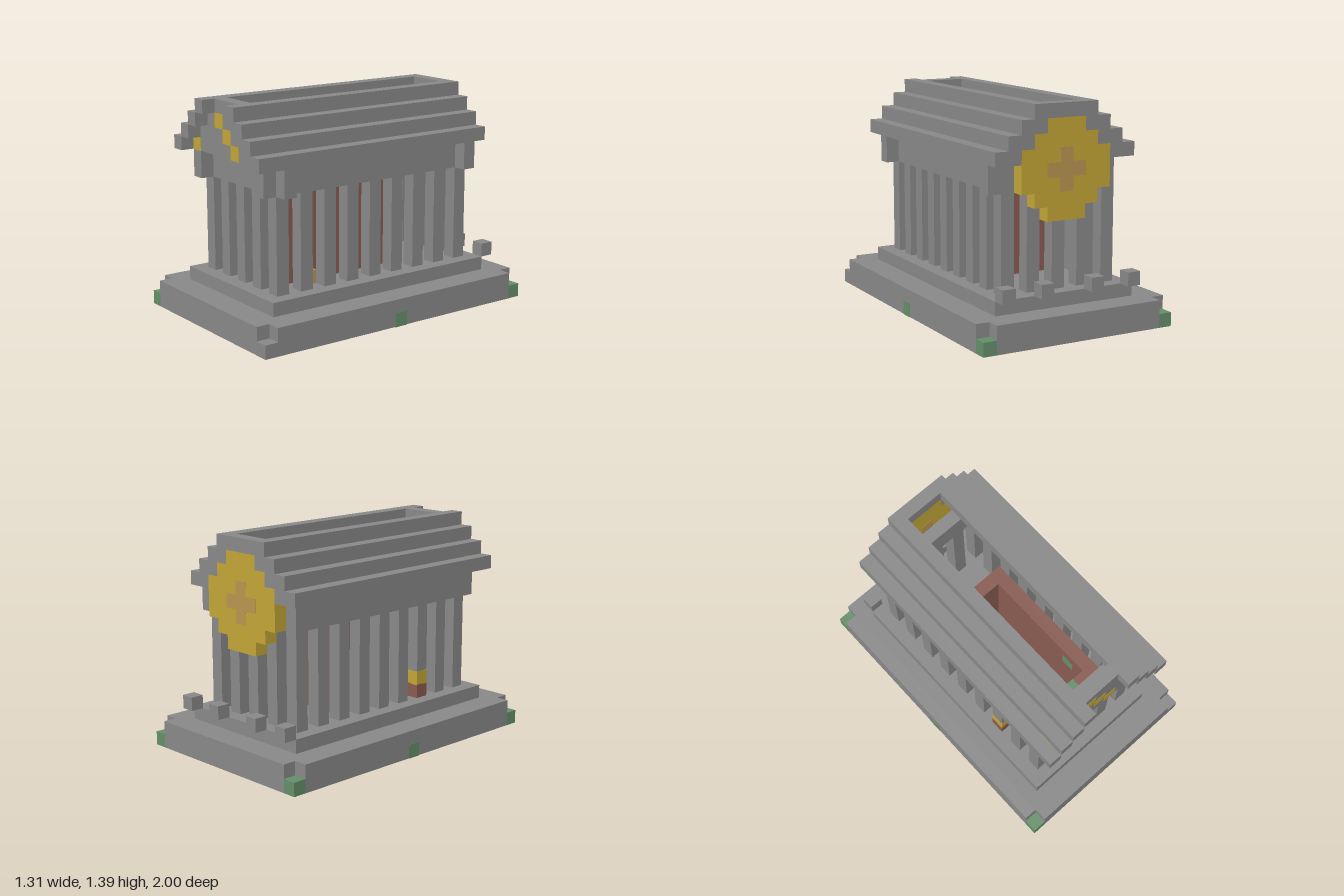
import * as THREE from 'three';

const U = 2 / 23; // one block
const mat = (name, color) => Object.assign(new THREE.MeshStandardMaterial({ color }), { name });

export function createModel() {
  const root = new THREE.Group();
  root.name = 'temple';
  const stone = mat('stone', 0x888888);
  const brick = mat('brick', 0x885b50);
  const moss = mat('moss', 0x648e69);
  const gold = mat('gold', 0xc2a537);
  const bronze = mat('bronze', 0xb8944f);

  // Box given by inclusive block ranges: x 0..14, y 0..15, z 0..22
  function block(name, m, x0, x1, y0, y1, z0, z1, grow = 0) {
    const g = new THREE.BoxGeometry(
      (x1 - x0 + 1) * U + grow, (y1 - y0 + 1) * U + grow, (z1 - z0 + 1) * U + grow);
    const mesh = new THREE.Mesh(g, m);
    mesh.position.set(((x0 + x1) / 2 - 7) * U, (y0 + y1 + 1) / 2 * U, ((z0 + z1) / 2 - 11) * U);
    mesh.name = name;
    root.add(mesh);
  }
  const cell = (name, m, x, y, z, grow = 0.004) => block(name, m, x, x, y, y, z, z, grow);

  // Base with notched upper corners, three of the lower corners mossy
  block('base', stone, 1, 13, 0, 1, 0, 22);
  for (const x of [0, 14]) {
    block('baseEdge', stone, x, x, 0, 1, 1, 21);
    for (const z of [0, 22]) cell('baseCorner', x === 14 && z === 22 ? stone : moss, x, 0, z, 0);
    cell('baseMoss', moss, x, 0, 11);
  }
  block('step', stone, 2, 12, 2, 2, 2, 20);

  // Moss patches under the base, as [blocks from the left side, blocks from the back]
  const patches = [[5, 8], [6, 6], [8, 4], [10, 3], [3, 12], [4, 13], [3, 14], [1, 17], [4, 19], [5, 20],
    [8, 21], [7, 16], [8, 17], [12, 18], [11, 14], [12, 12], [11, 7], [12, 6], [13, 7], [13, 4], [13, 3]];
  for (const [b, z] of patches) {
    const p = new THREE.Mesh(new THREE.BoxGeometry(U, 0.004, U), moss);
    p.position.set((7 - b) * U, 0, (z - 11) * U);
    p.name = 'undersideMoss';
    root.add(p);
  }

  // Colonnade
  for (let z = 3; z <= 19; z += 2)
    for (const x of [3, 11]) block('sideColumn', stone, x, x, 3, 9, z, z);
  for (const z of [3, 19])
    for (const x of [5, 7, 9]) block('endColumn', stone, x, x, 3, 9, z, z);
  cell('columnBrick', brick, 3, 3, 15);
  cell('columnGold', gold, 3, 4, 15);

  // Inner chamber
  for (const x of [5, 9]) block('chamberSideWall', brick, x, x, 3, 9, 8, 18);
  for (const z of [8, 18]) block('chamberEndWall', brick, 6, 8, 3, 9, z, z);
  cell('wallMoss', moss, 9, 5, 18);
  cell('wallMoss', moss, 9, 8, 16);
  cell('wallMoss', moss, 7, 9, 18);
  cell('altar', stone, 7, 3, 17, 0);
  cell('urn', bronze, 10, 3, 16, 0);

  // Beam ring with corner brackets
  for (const x of [3, 11]) {
    block('sideBeam', stone, x, x, 10, 11, 3, 19);
    block('frontBracket', stone, x, x, 10, 11, 20, 20);
  }
  for (const z of [3, 19]) {
    block('endBeam', stone, 4, 10, 10, 11, z, z);
    block('sideBracket', stone, 12, 12, 10, 11, z, z);
  }

  // Stepped roof, open along the ridge, and the front gable
  for (let s = 0; s < 4; s++) {
    for (const x of [2 + s, 12 - s]) block('roofStep', stone, x, x, 12 + s, 12 + s, 2, 21);
    block('frontGable', stone, 3 + s, 11 - s, 12 + s, 12 + s, 20, 20);
  }
  for (const [x, y] of [[3, 12], [8, 12], [7, 13], [6, 14]]) cell('gableGold', gold, x, y, 20);

  // Rear gable filled by a round gold disc with a bronze cross
  block('rearGableTop', stone, 6, 8, 15, 15, 2, 2);
  for (let s = 0; s < 3; s++)
    for (const x of [3 + s, 11 - s]) cell('rearGable', stone, x, 12 + s, 2, 0);
  [1, 2, 3, 3, 3, 2, 1].forEach((h, r) => block('disc', gold, 7 - h, 7 + h, 8 + r, 8 + r, 2, 2));
  block('discCross', bronze, 6, 8, 11, 11, 2, 2, 0.004);
  for (const y of [10, 12]) cell('discCross', bronze, 7, y, 2);

  // Loose stones behind the temple
  for (const x of [2, 5, 9, 12]) cell('looseStone', stone, x, 3, 1, 0);

  return root;
}
